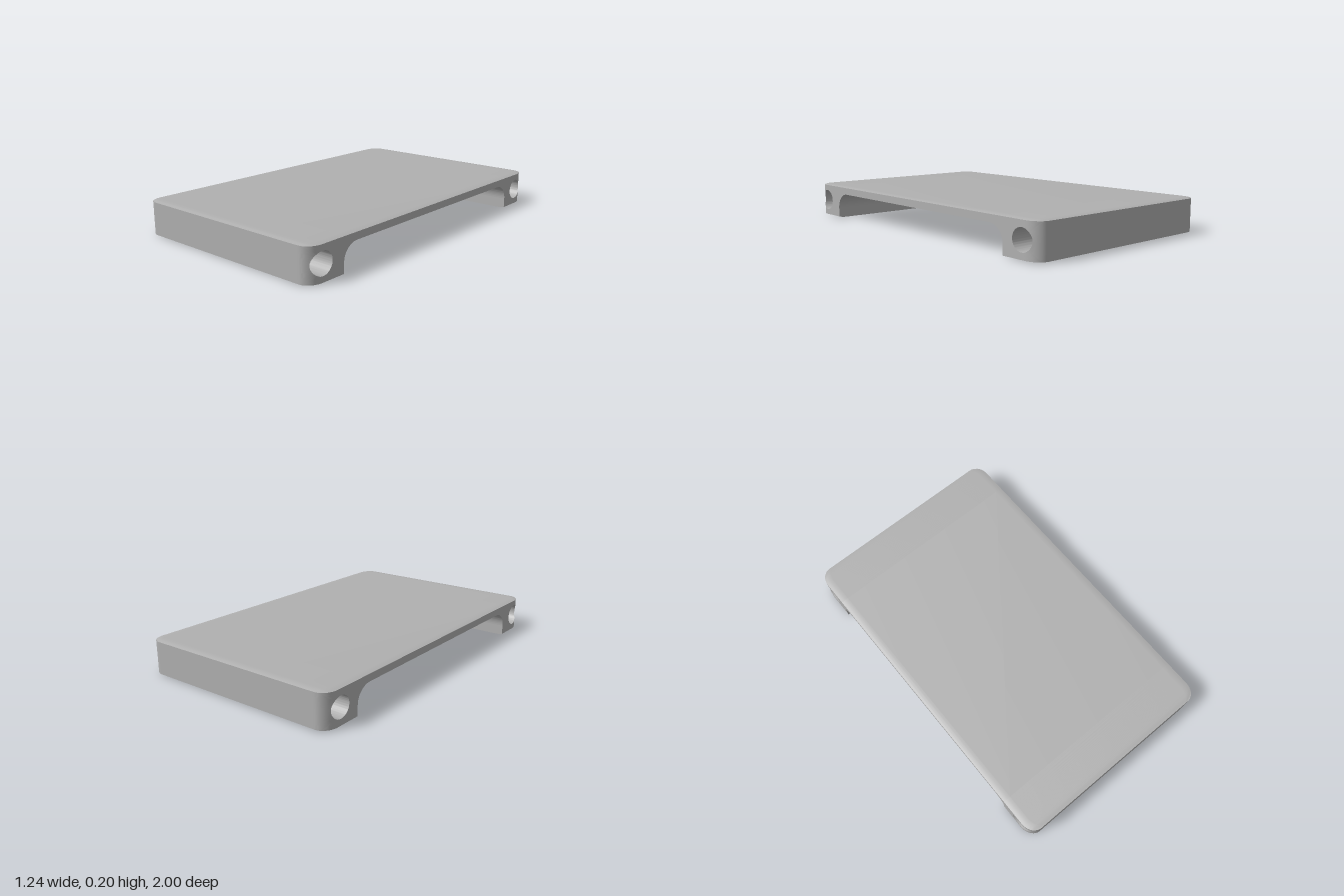
import * as THREE from 'three';
import { toCreasedNormals } from 'three/addons/utils/BufferGeometryUtils.js';

const W = 0.622, H = 0.2, MID = H / 2, INNER = 0.765;
const SPANS = [-1, -0.98, -0.955, -0.93, 0.93, 0.955, 0.98, 1]; // fractions of the half width

// Half width at a given z: elliptical corners in plan.
function halfWidth(z) {
  const t = THREE.MathUtils.clamp((z - 0.915) / 0.085, 0, 1);
  return W - 0.07 * (1 - Math.sqrt(1 - t * t));
}

// Place a point and ease the top and bottom down softly towards the outer edges.
function place(s, y, z) {
  const mx = Math.max(0, (Math.abs(s) - 0.93) / 0.07);
  const mz = Math.max(0, (z - 0.96) / 0.04);
  const m = Math.min(1, mx * mx + mz * mz);
  return [s * halfWidth(z), MID + (y - MID) * (1 - 0.06 * m), z];
}

// End rail: a closed loop of rings through the bore, out over one cap, round the outside and back.
function railGeometry(cz, r) {
  const angles = [];
  for (let i = 0; i < 96; i++) angles.push(i / 96 * Math.PI * 2 + 0.001);
  for (const z of [INNER, 1]) for (const y of [0, H]) {
    const a = Math.atan2(y - MID, z - cz);
    for (const d of [-0.025, -0.008, 0, 0.008, 0.025]) angles.push((a + d + Math.PI * 2) % (Math.PI * 2));
  }
  angles.sort((a, b) => a - b);

  const blends = [0, 0.3, 0.6, 0.8, 0.9, 0.96, 0.99, 1]; // bore to outline
  const rows = [
    ...blends.map(k => [1, k]),
    ...SPANS.slice(1, -1).reverse().map(s => [s, 1]),
    ...blends.slice().reverse().map(k => [-1, k]),
  ];
  const n = angles.length, pos = [], idx = [];
  rows.forEach(([s, k], j) => {
    angles.forEach((a, i) => {
      const c = Math.cos(a), q = Math.sin(a);
      const reach = Math.min((c > 0 ? 1 - cz : cz - INNER) / Math.abs(c), MID / Math.abs(q));
      const d = THREE.MathUtils.lerp(r, reach, k);
      pos.push(...place(s, MID + q * d, cz + c * d));
      const i2 = (i + 1) % n, a0 = j * n, b0 = ((j + 1) % rows.length) * n;
      idx.push(a0 + i, a0 + i2, b0 + i, a0 + i2, b0 + i2, b0 + i);
    });
  });
  const g = new THREE.BufferGeometry();
  g.setAttribute('position', new THREE.Float32BufferAttribute(pos, 3));
  g.setIndex(idx);
  return toCreasedNormals(g, 0.7);
}

// Thin deck between the rails, flaring into each with a quarter-round underside.
function deckGeometry() {
  const under = 0.157, f = 0.097;
  const shape = new THREE.Shape();
  shape.moveTo(-INNER, H);
  shape.lineTo(-INNER, under - f);
  shape.absarc(-INNER + f, under - f, f, Math.PI, Math.PI / 2, true);
  shape.lineTo(INNER - f, under);
  shape.absarc(INNER - f, under - f, f, Math.PI / 2, 0, true);
  shape.lineTo(INNER, H);
  shape.closePath();
  const steps = SPANS.length - 1;
  const g = new THREE.ExtrudeGeometry(shape, { depth: 1, steps, bevelEnabled: false, curveSegments: 16 });
  const p = g.attributes.position;
  for (let i = 0; i < p.count; i++) {
    const s = SPANS[Math.round(p.getZ(i) * steps)];
    const [x, y] = place(s, p.getY(i), 0);
    p.setXYZ(i, x, y, -p.getX(i));
  }
  return toCreasedNormals(g, 0.7);
}

export function createModel() {
  const group = new THREE.Group();
  group.name = 'bridgePlate';
  const grey = new THREE.MeshStandardMaterial({ color: 0xb0b0b0 });
  grey.name = 'grey';

  const add = (name, geometry) => {
    const mesh = new THREE.Mesh(geometry, grey);
    mesh.name = name;
    group.add(mesh);
    return mesh;
  };
  add('deck', deckGeometry());
  add('frontRail', railGeometry(0.911, 0.066));
  add('backRail', railGeometry(0.893, 0.063)).rotation.y = Math.PI;
  return group;
}
